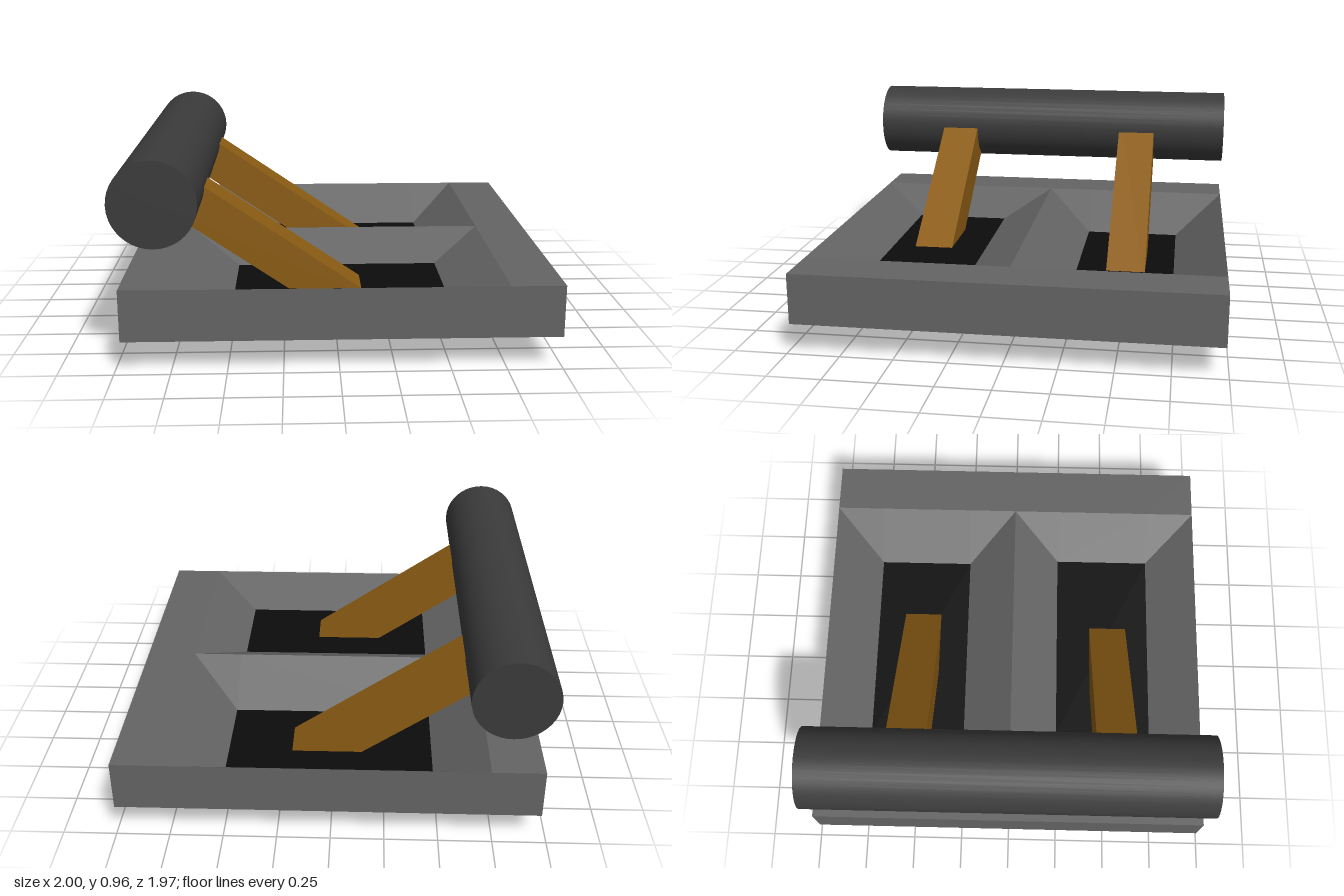
import * as THREE from 'three';

const TOP = 0.39, BOTTOM = 0.15;
const XS = [-0.97, -0.725, -0.48, 0.51, 0.755, 1];
const ZS = [-0.985, -0.74, -0.25, 0, 0.24, 0.73, 0.98];
const FLOOR = { 1: 0.205, 2: 0.205, 4: 0.263, 5: 0.263 }; // floor height by z line

const material = (color, flatShading = false) => new THREE.MeshStandardMaterial({ color, flatShading });

function add(parent, name, geometry, mat) {
  const mesh = new THREE.Mesh(geometry, mat);
  mesh.name = name;
  parent.add(mesh);
  return mesh;
}

// Flat-faced geometry from quads given as four counter-clockwise corners
function fromQuads(quads) {
  const positions = [];
  for (const [a, b, c, d] of quads) {
    for (const p of [a, b, c, a, c, d]) positions.push(...p);
  }
  const geometry = new THREE.BufferGeometry();
  geometry.setAttribute('position', new THREE.Float32BufferAttribute(positions, 3));
  geometry.computeVertexNormals();
  return geometry;
}

// Grid corner: sunk at the pocket floors, level elsewhere
function corner(i, j) {
  const sunk = (i === 2 || i === 3) && j in FLOOR;
  return [XS[i], sunk ? FLOOR[j] : TOP, ZS[j]];
}

export function createModel() {
  const group = new THREE.Group();
  const grey = material(0x646464, true);
  const black = material(0x0c0c0c, true);
  const wood = material(0x8b5c14, true);
  const dark = material(0x3b3b3b);

  // Top of the base with two sloped pockets
  const shell = [], floors = [];
  for (let i = 0; i < XS.length - 1; i++) {
    for (let j = 0; j < ZS.length - 1; j++) {
      const a = corner(i, j), b = corner(i, j + 1), c = corner(i + 1, j + 1), d = corner(i + 1, j);
      const isFloor = i === 2 && (j === 1 || j === 4);
      // Split each corner cell along its valley
      const quad = a[1] + c[1] <= b[1] + d[1] ? [a, b, c, d] : [b, c, d, a];
      (isFloor ? floors : shell).push(quad);
    }
  }

  // Sides and underside of the base
  const x0 = XS[0], x1 = XS[5], z0 = ZS[0], z1 = ZS[6];
  const ring = [[x0, z1], [x1, z1], [x1, z0], [x0, z0]];
  ring.forEach(([x, z], k) => {
    const [nx, nz] = ring[(k + 1) % 4];
    shell.push([[x, BOTTOM, z], [nx, BOTTOM, nz], [nx, TOP, nz], [x, TOP, z]]);
  });
  shell.push(ring.map(([x, z]) => [x, BOTTOM, z]).reverse());
  add(group, 'base', fromQuads(shell), grey);
  add(group, 'pocketFloors', fromQuads(floors), black);

  // Slanted arms running from the roller through the pockets
  for (const [name, z] of [['frontArm', 0.515], ['backArm', -0.498]]) {
    const arm = add(group, name, new THREE.BoxGeometry(1.2, 0.192, 0.196), wood);
    arm.position.set(-0.286, 0.422, z);
    arm.rotation.z = -0.601;
  }

  // Roller across the arm ends
  const roller = add(group, 'roller', new THREE.CylinderGeometry(0.195, 0.195, z1 - z0, 40), dark);
  roller.rotation.x = Math.PI / 2;
  roller.position.set(-0.805, 0.77, (z0 + z1) / 2);

  return group;
}
